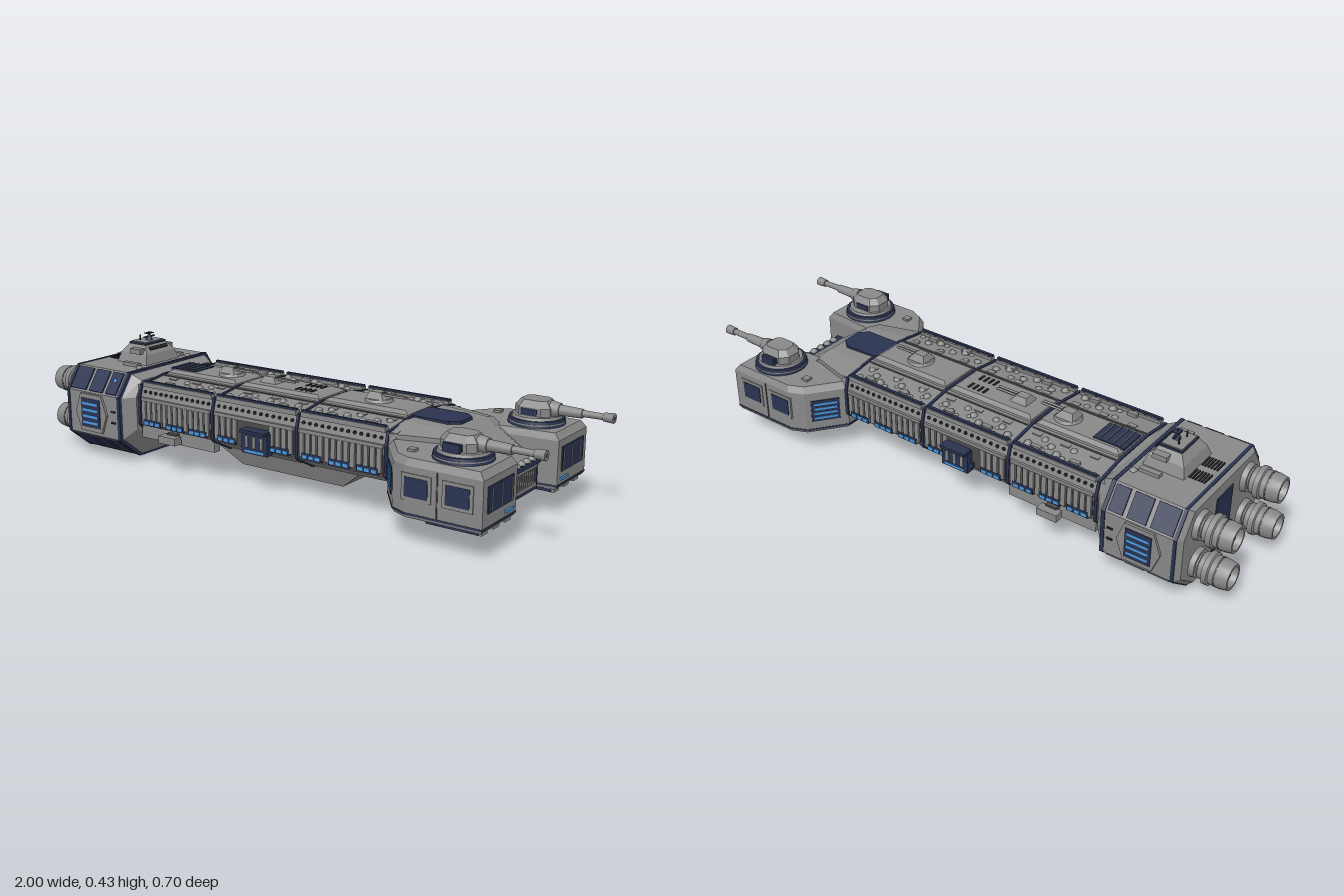
import * as THREE from 'three';
import { toCreasedNormals } from 'three/addons/utils/BufferGeometryUtils.js';

const material = (name, color) => {
  const m = new THREE.MeshStandardMaterial({ color });
  m.name = name;
  return m;
};

// Closed solid skinned over rings of matching 3D points, with flat faces
function loft(rings) {
  const tris = [];
  const n = rings[0].length;
  for (let s = 0; s < rings.length - 1; s++) for (let i = 0; i < n; i++) {
    const j = (i + 1) % n, [p, q] = [rings[s], rings[s + 1]];
    tris.push([p[i], q[i], q[j]], [p[i], q[j], p[j]]);
  }
  const a = rings[0], b = rings[rings.length - 1];
  for (let i = 1; i < n - 1; i++) tris.push([a[0], a[i], a[i + 1]], [b[0], b[i + 1], b[i]]);
  // Signed volume tells whether the skin is inside out
  let volume = 0;
  for (const [p, q, r] of tris) volume += new THREE.Vector3(...p).dot(new THREE.Vector3(...q).cross(new THREE.Vector3(...r)));
  if (volume < 0) tris.forEach(t => t.reverse());
  const g = new THREE.BufferGeometry();
  g.setAttribute('position', new THREE.Float32BufferAttribute(tris.flat(2), 3));
  g.computeVertexNormals();
  return g;
}
// Symmetric ring across the ship from a half profile of [z, y]
const section = (x, half) => [...half.map(([z, y]) => [x, y, z]), ...half.slice().reverse().map(([z, y]) => [x, y, -z])];
// Horizontal ring from a plan of [x, z], scaled about a centre
const plan = (y, pts, k = 1, cx = 0, cz = 0) => pts.map(([x, z]) => [cx + (x - cx) * k, y, cz + (z - cz) * k]);
const rect = (x0, x1, z) => [[x0, z], [x1, z], [x1, -z], [x0, -z]];

export function createModel() {
  const ship = new THREE.Group();
  ship.name = 'spaceship';
  const grey = material('hull grey', 0x888888), dark = material('dark grey', 0x4b4b4d);
  const navy = material('navy panel', 0x2a3351), black = material('black recess', 0x25262b);
  const glow = material('blue light', 0x4a9ae2);

  const add = (name, mat, geo, x = 0, y = 0, z = 0, parent = ship) => {
    const m = new THREE.Mesh(geo, mat);
    m.name = name;
    m.position.set(x, y, z);
    parent.add(m);
    return m;
  };
  const box = (name, mat, x, y, z, w, h, d, parent) => add(name, mat, new THREE.BoxGeometry(w, h, d), x, y, z, parent);
  const pair = (name, mat, x, y, z, w, h, d) => [1, -1].forEach(s => box(name, mat, x, y, s * z, w, h, d));
  // Thin plates lying on a sloped flank between two [z, y] points, both sides
  const slab = (name, mat, x0, x1, [z0, y0], [z1, y1], t = 0.008) => [1, -1].forEach(s => {
    const m = box(name, mat, (x0 + x1) / 2, (y0 + y1) / 2, s * (z0 + z1) / 2, x1 - x0, Math.hypot(z1 - z0, y1 - y0), t);
    m.rotation.x = s * Math.atan2(z1 - z0, y1 - y0);
  });
  const tube = (name, mat, r0, r1, len, x, y, z, parent, sides = 14) => {
    const m = add(name, mat, new THREE.CylinderGeometry(r1, r0, len, sides), x, y, z, parent);
    m.rotation.z = -Math.PI / 2;
    return m;
  };
  const dome = new THREE.SphereGeometry(1, 10, 5, 0, Math.PI * 2, 0, Math.PI / 2);
  const addDome = (x, y, z, r) => add('deckDome', grey, dome, x, y, z).scale.setScalar(r);

  // Main hull
  const hull = [[0.12, 0.1], [0.2, 0.14], [0.21, 0.15], [0.21, 0.245], [0.198, 0.288], [0.08, 0.305]];
  add('mainHull', grey, loft([section(-0.58, hull), section(0.49, hull)]));
  for (const x of [-0.555, -0.225, 0.125, 0.462]) {
    const big = hull.map(([z, y]) => [z * 1.025, 0.2 + (y - 0.2) * 1.04]);
    add('hullSeam', navy, loft([section(x - 0.005, big), section(x + 0.005, big)]));
  }
  pair('aftSkirt', grey, -0.39, 0.126, 0.19, 0.33, 0.05, 0.03);

  // Three hull bays with ribs, portholes, lights and raised deck
  const bays = [[-0.545, -0.235], [-0.215, 0.115], [0.135, 0.452]];
  const port = new THREE.CylinderGeometry(0.006, 0.006, 0.006, 8).rotateX(Math.PI / 2);
  bays.forEach(([x0, x1], bay) => {
    const len = x1 - x0, mid = (x0 + x1) / 2;
    pair('flankRecess', dark, mid, 0.195, 0.21, len, 0.085, 0.004);
    pair('flankLedge', grey, mid, 0.243, 0.211, len, 0.012, 0.012);
    pair('deckRail', navy, mid, 0.304, 0.196, len, 0.007, 0.01);
    pair('railBase', grey, mid, 0.293, 0.194, len, 0.016, 0.02);
    for (let i = 0; i < 13; i++) {
      const x = x0 + len * (i + 0.5) / 13;
      if (bay !== 1 || i < 4 || i > 8) pair('flankRib', grey, x, 0.198, 0.213, 0.017, 0.08, 0.012);
      [1, -1].forEach(s => add('porthole', black, port, x, 0.268, s * 0.205));
      if (i % 2 === 0) pair('railPost', dark, x, 0.296, 0.19, 0.008, 0.02, 0.008);
    }
    for (let i = 0; i < 3; i++) {
      const x = x0 + len * (i + 0.5) / 3;
      pair('windowBand', navy, x, 0.162, 0.216, 0.08, 0.022, 0.008);
      for (let k = -1; k <= 1; k++) pair('windowLight', glow, x + k * 0.025, 0.161, 0.2205, 0.019, 0.011, 0.004);
    }
    // Raised centre deck
    add('centreDeck', grey, loft([plan(0.295, rect(x0, x1, 0.078)), plan(0.312, rect(x0, x1, 0.074)), plan(0.322, rect(x0 + 0.015, x1 - 0.015, 0.06))]));
    pair('deckGroove', dark, mid, 0.303, 0.09, len, 0.006, 0.008);
    // Domes and hatches on the shoulders
    for (let i = 0; i < 8; i++) [1, -1].forEach(s => {
      const x = x0 + len * (i + 0.7) / 8.6, z = [0.12, 0.165, 0.14][(i + bay) % 3];
      if (bay > 0 || i > 2) addDome(x, 0.293, s * z, 0.014), addDome(x + 0.012, 0.29, s * (0.29 - z), 0.01);
      if (i % 3 === 1) box('deckHatch', grey, x, 0.297, s * 0.11, 0.03, 0.012, 0.018);
      if (i % 4 === 2) box('deckLocker', grey, x, 0.296, s * 0.172, 0.035, 0.018, 0.016);
    });
  });
  // Deck grilles and vents
  box('deckGrille', navy, -0.492, 0.321, 0, 0.115, 0.008, 0.1);
  for (let i = 0; i < 4; i++) box('grilleBar', dark, -0.53 + i * 0.025, 0.324, 0, 0.005, 0.006, 0.1);
  for (let i = 0; i < 4; i++) pair('deckVent', black, 0.0 + i * 0.02, 0.322, 0.03, 0.008, 0.006, 0.03);
  // Small deck guns
  for (const [x, y] of [[-0.31, 0.322], [-0.13, 0.312], [0.3, 0.322]]) {
    const g = new THREE.Group();
    g.name = 'deckGun';
    g.position.set(x, y, 0);
    ship.add(g);
    add('gunRing', grey, new THREE.CylinderGeometry(0.042, 0.048, 0.01, 16), 0, 0.004, 0, g);
    add('gunHouse', grey, loft([plan(0.008, rect(-0.035, 0.035, 0.032)), plan(0.03, rect(-0.025, 0.015, 0.016))]), 0, 0, 0, g);
    box('gunMount', dark, 0.005, 0.022, 0, 0.03, 0.014, 0.024, g);
    [1, -1].forEach(s => tube('gunBarrel', grey, 0.004, 0.004, 0.09, 0.055, 0.022, s * 0.007, g, 8));
  }

  // Flank bays and pods
  pair('dockBay', navy, -0.028, 0.175, 0.222, 0.105, 0.075, 0.03);
  pair('dockRoof', navy, -0.028, 0.214, 0.23, 0.1, 0.01, 0.044);
  for (let i = 0; i < 3; i++) pair('dockDoor', grey, -0.058 + i * 0.03, 0.178, 0.238, 0.012, 0.04, 0.006);
  pair('dockLight', glow, -0.028, 0.146, 0.237, 0.08, 0.008, 0.004);
  pair('sensorPod', grey, -0.4, 0.123, 0.234, 0.075, 0.026, 0.034);
  pair('sensorPodArm', dark, -0.4, 0.136, 0.21, 0.04, 0.012, 0.03);

  // Keel under the middle
  add('keel', grey, loft([plan(0.105, rect(-0.28, 0.31, 0.12)), plan(0.04, rect(-0.19, 0.227, 0.095))]));
  box('keelPanel', navy, 0.02, 0.038, 0, 0.36, 0.008, 0.14);
  for (let i = 0; i < 5; i++) box('keelBar', black, -0.12 + i * 0.07, 0.036, 0, 0.012, 0.008, 0.12);

  // Stern block
  const stern = [[0.165, 0.015], [0.26, 0.09], [0.262, 0.245], [0.205, 0.325]];
  const shrink = k => stern.map(([z, y]) => [z * k, 0.17 + (y - 0.17) * k]);
  add('sternBlock', grey, loft([section(-0.875, shrink(0.93)), section(-0.86, stern), section(-0.612, stern), section(-0.604, shrink(0.955)),
    section(-0.567, [[0.14, 0.085], [0.215, 0.13], [0.217, 0.245], [0.185, 0.3]])]));
  for (const [x0, x1] of [[-0.861, -0.85], [-0.618, -0.605]]) add('sternBand', navy, loft([section(x0, shrink(1.01)), section(x1, shrink(1.01))]));
  for (const [x0, x1] of [[-0.845, -0.77], [-0.755, -0.69], [-0.675, -0.625]]) {
    slab('sternUpperPanel', navy, x0, x1, [0.259, 0.251], [0.21, 0.32]);
    slab('sternLowerPanel', navy, x0, x1, [0.178, 0.026], [0.254, 0.085]);
  }
  add('sternLight', glow, new THREE.SphereGeometry(0.008, 8, 6), -0.65, 0.295, 0.232);
  const hex = [];
  for (const [dx, dy] of [[-0.075, 0], [-0.05, -0.068], [0.05, -0.068], [0.075, 0], [0.05, 0.068], [-0.05, 0.068]]) hex.push([-0.74 + dx, 0.172 + dy]);
  [1, -1].forEach(s => {
    add('sternShield', grey, loft([0.255, 0.27].map(z => hex.map(([x, y]) => [x, y, s * z]))));
    box('sternWindow', navy, -0.74, 0.172, s * 0.27, 0.09, 0.105, 0.006);
    for (let i = 0; i < 4; i++) box('sternWindowLight', glow, -0.74, 0.137 + i * 0.023, s * 0.273, 0.074, 0.009, 0.004);
    for (const y of [0.15, 0.19]) box('sternSlot', black, -0.638, y, s * 0.262, 0.02, 0.006, 0.006);
  });
  box('sternKeelPlate', navy, -0.735, 0.012, 0, 0.2, 0.008, 0.25);
  box('sternBasePlate', grey, -0.735, 0.006, 0, 0.21, 0.006, 0.276);
  for (let i = 0; i < 5; i++) box('sternBaseStripe', navy, -0.735, 0.002, -0.1 + i * 0.05, 0.2, 0.004, 0.034);
  box('sternRearPanel', navy, -0.875, 0.175, 0, 0.008, 0.2, 0.1);
  for (let i = 0; i < 6; i++) pair('sternVent', black, -0.835 + i * 0.01, 0.326, 0.04, 0.005, 0.006, 0.05);
  pair('sternRoofBox', grey, -0.68, 0.33, 0.115, 0.07, 0.014, 0.02);
  [1, -1].forEach(s => addDome(-0.63, 0.32, s * 0.13, 0.014));

  // Bridge and mast
  add('bridge', grey, loft([plan(0.32, rect(-0.78, -0.635, 0.088)), plan(0.36, rect(-0.768, -0.645, 0.074)), plan(0.392, rect(-0.745, -0.672, 0.05))]));
  const glass = box('bridgeWindow', black, -0.656, 0.378, 0, 0.006, 0.012, 0.09);
  glass.rotation.z = 0.7;
  pair('bridgeWing', grey, -0.69, 0.37, 0.074, 0.05, 0.018, 0.026);
  box('bridgeRim', navy, -0.708, 0.392, 0, 0.08, 0.006, 0.106);
  box('bridgeRoof', grey, -0.708, 0.396, 0, 0.07, 0.005, 0.094);
  add('mastBase', navy, new THREE.CylinderGeometry(0.004, 0.014, 0.022, 8), -0.7, 0.408, 0);
  box('mast', black, -0.7, 0.414, 0, 0.005, 0.03, 0.005);
  box('mastArm', navy, -0.7, 0.411, 0, 0.006, 0.004, 0.055);
  box('mastTopArm', navy, -0.7, 0.424, 0, 0.02, 0.003, 0.03);
  pair('antenna', black, -0.72, 0.408, 0.025, 0.004, 0.022, 0.004);

  // Four engines
  const nozzle = [[0.036, 0], [0.036, 0.025], [0.044, 0.03], [0.044, 0.045], [0.054, 0.047], [0.054, 0.064], [0.047, 0.067], [0.048, 0.1],
    [0.043, 0.128], [0.035, 0.128], [0.028, 0.09], [0, 0.09]].map(p => new THREE.Vector2(...p));
  const nozzleGeo = toCreasedNormals(new THREE.LatheGeometry(nozzle, 20), 0.5);
  for (const y of [0.105, 0.245]) for (const z of [-0.15, 0.15]) {
    const g = new THREE.Group();
    g.name = 'engine';
    g.position.set(-0.872, y, z);
    ship.add(g);
    add('nozzle', grey, nozzleGeo, 0, 0, 0, g).rotation.z = Math.PI / 2;
    tube('engineCollar', grey, 0.046, 0.05, 0.02, -0.01, 0, 0, g, 20);
    tube('nozzleGroove', dark, 0.0485, 0.0485, 0.006, -0.085, 0, 0, g, 20);
    tube('engineCore', dark, 0.012, 0.024, 0.03, -0.1, 0, 0, g, 12);
  }

  // Bow centre with sloping fore deck
  add('bowCentre', grey, loft([
    section(0.465, [[0.12, 0.09], [0.205, 0.12], [0.205, 0.285], [0.12, 0.306]]),
    section(0.63, [[0.12, 0.09], [0.16, 0.12], [0.16, 0.285], [0.1, 0.3]]),
    section(0.795, [[0.12, 0.09], [0.14, 0.1], [0.14, 0.175], [0.12, 0.185]])]));
  add('bowDeckPanel', navy, loft([0.29, 0.311].map(y => plan(y, [[0.44, 0.04], [0.465, 0.062], [0.59, 0.062], [0.62, 0.035], [0.62, -0.035], [0.59, -0.062], [0.465, -0.062], [0.44, -0.04]]))));
  box('bowBand', navy, 0.8, 0.184, 0, 0.03, 0.016, 0.25);
  for (let i = 0; i < 6; i++) addDome(0.802, 0.191, -0.0875 + i * 0.035, 0.014);
  box('bowGrilleBack', black, 0.796, 0.138, 0, 0.012, 0.066, 0.215);
  for (let i = 0; i < 15; i++) box('bowGrilleSlat', grey, 0.803, 0.138, -0.098 + i * 0.014, 0.01, 0.052, 0.006);
  for (const y of [0.107, 0.17]) box('bowGrilleFrame', grey, 0.803, y, 0, 0.014, 0.012, 0.23);
  pair('bowGrillePost', navy, 0.8, 0.138, 0.122, 0.012, 0.08, 0.006);
  box('bowSill', navy, 0.79, 0.094, 0, 0.03, 0.012, 0.25);
  box('bowUnderPanel', navy, 0.63, 0.088, 0, 0.27, 0.008, 0.23);

  // Bow pods with gun turrets, one per side
  [1, -1].forEach(s => {
    const outline = [[0.465, 0.1], [0.465, 0.205], [0.555, 0.322], [0.61, 0.346], [0.866, 0.346], [0.866, 0.14], [0.64, 0.12]].map(([x, z]) => [x, s * z]);
    add('bowPod', grey, loft([plan(0.09, outline, 0.97, 0.68, s * 0.22), plan(0.1, outline), plan(0.248, outline), plan(0.27, outline, 0.91, 0.68, s * 0.22)]));
    const rim = y => plan(y, outline, 1.008, 0.68, s * 0.22);
    add('podLowerRim', navy, loft([rim(0.099), rim(0.105)]));
    // Front windows
    box('podFrontWindow', navy, 0.867, 0.185, s * 0.242, 0.006, 0.08, 0.155);
    for (const z of [0.175, 0.236, 0.296]) box('windowDivider', grey, 0.87, 0.182, s * z, 0.006, 0.07, 0.004);
    box('podFrontLight', glow, 0.869, 0.121, s * 0.187, 0.006, 0.008, 0.05);
    // Outer windows
    for (const x of [0.65, 0.786]) {
      box('podWindowFrame', grey, x, 0.186, s * 0.346, 0.1, 0.082, 0.006);
      box('podSideWindow', navy, x, 0.186, s * 0.348, 0.078, 0.06, 0.006);
    }
    box('podSideSeam', dark, 0.718, 0.175, s * 0.346, 0.005, 0.14, 0.004);
    // Angled shoulder window
    const shoulder = new THREE.Group();
    shoulder.name = 'shoulderWindow';
    shoulder.position.set(0.513, 0.176, s * 0.268);
    shoulder.rotation.y = -s * Math.atan2(0.117, 0.09);
    ship.add(shoulder);
    box('shoulderPanel', navy, 0, 0, 0, 0.1, 0.082, 0.006, shoulder);
    for (let i = 0; i < 4; i++) box('shoulderLight', glow, 0, -0.027 + i * 0.018, s * 0.003, 0.08, 0.008, 0.005, shoulder);
    // Underside feet
    for (const z of [0.165, 0.237, 0.308]) {
      box('podFoot', navy, 0.76, 0.086, s * z, 0.17, 0.014, 0.044);
      box('podFootCap', grey, 0.845, 0.084, s * z, 0.02, 0.014, 0.036);
    }
    box('podDeckHatch', grey, 0.59, 0.272, s * 0.27, 0.025, 0.012, 0.025);

    // Turret
    const t = new THREE.Group();
    t.name = 'turret';
    t.position.set(0.742, 0, s * 0.238);
    ship.add(t);
    add('turretBase', navy, new THREE.CylinderGeometry(0.088, 0.094, 0.028, 28), 0, 0.276, 0, t);
    add('turretRing', grey, new THREE.CylinderGeometry(0.091, 0.091, 0.004, 28), 0, 0.279, 0, t);
    add('turretDeck', grey, new THREE.CylinderGeometry(0.076, 0.08, 0.01, 28), 0, 0.294, 0, t);
    const body = [[-0.065, 0.025], [-0.04, 0.05], [0.035, 0.05], [0.058, 0.03], [0.058, -0.03], [0.035, -0.05], [-0.04, -0.05], [-0.065, -0.025]];
    add('turretHouse', grey, loft([plan(0.296, body), plan(0.325, body), plan(0.346, body, 0.72)]), 0, 0, 0, t);
    box('turretOuterLocker', navy, -0.005, 0.306, s * 0.064, 0.055, 0.038, 0.012, t);
    [1, -1].forEach(k => box('turretSidePanel', navy, -0.005, 0.311, k * 0.05, 0.055, 0.02, 0.006, t));
    tube('gunMantlet', grey, 0.027, 0.022, 0.03, 0.065, 0.319, 0, t);
    tube('gunSleeve', grey, 0.018, 0.015, 0.08, 0.115, 0.319, 0, t);
    tube('gunBarrel', grey, 0.011, 0.01, 0.09, 0.19, 0.32, 0, t);
    tube('gunMuzzle', grey, 0.014, 0.016, 0.034, 0.241, 0.32, 0, t);
    tube('gunBore', dark, 0.006, 0.006, 0.002, 0.258, 0.32, 0, t);
  });
  return ship;
}
